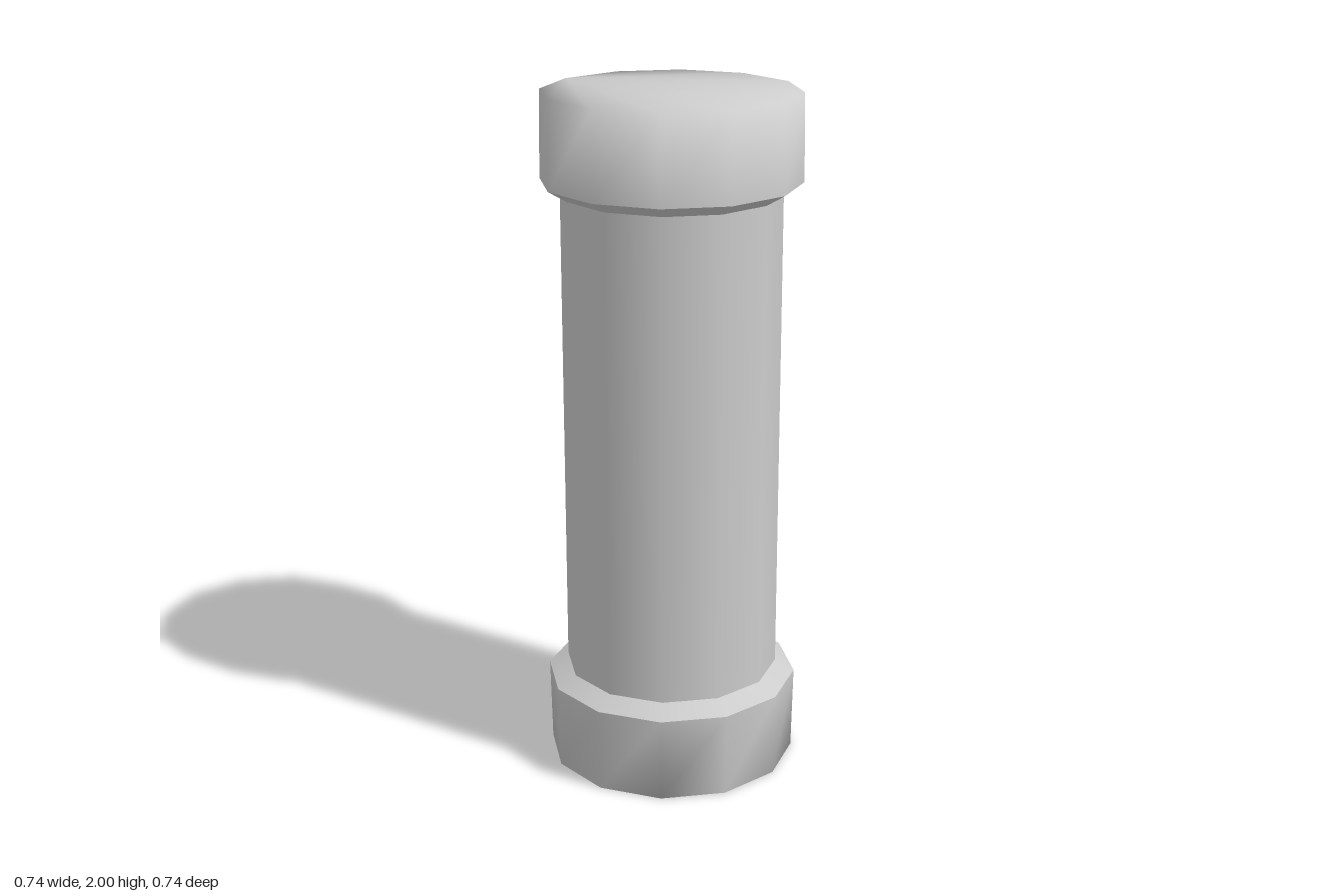
import * as THREE from 'three';

const SIDES = 12;

// Twelve-sided collar: straight wall and end face share smooth normals
function collarGeometry(yLow, rLow, yTop, rTop, firstCorner) {
  const pos = [], idx = [];
  for (const [y, r] of [[yLow, rLow], [yTop, rTop]]) {
    for (let i = 0; i < SIDES; i++) {
      const a = ((i + firstCorner) / SIDES) * Math.PI * 2;
      pos.push(r * Math.sin(a), y, r * Math.cos(a));
    }
  }
  for (let i = 0; i < SIDES; i++) {
    const j = (i + 1) % SIDES;
    idx.push(i, j, SIDES + j, i, SIDES + j, SIDES + i);
    if (i > 0 && i < SIDES - 1) idx.push(SIDES, SIDES + i, SIDES + i + 1);
  }
  const g = new THREE.BufferGeometry();
  g.setAttribute('position', new THREE.Float32BufferAttribute(pos, 3));
  g.setIndex(idx);
  g.computeVertexNormals();
  return g;
}

export function createModel() {
  const model = new THREE.Group();
  model.name = 'column';
  const stone = new THREE.MeshStandardMaterial({ color: 0xcccccc });
  stone.name = 'pale grey';

  const add = (parent, name, geometry, y = 0) => {
    const mesh = new THREE.Mesh(geometry, stone);
    mesh.name = name;
    mesh.position.y = y;
    parent.add(mesh);
  };

  // Shaft runs into both collars
  add(model, 'shaft', new THREE.CylinderGeometry(0.315, 0.315, 1.5, SIDES, 1, true), 1);

  // Matching collars, the lower one turned over
  for (const name of ['capital', 'base']) {
    const end = new THREE.Group();
    end.name = name;
    add(end, name + 'Collar', collarGeometry(0.75, 0.372, 1, 0.367, 7));
    add(end, name + 'Chamfer', new THREE.CylinderGeometry(0.372, 0.313, 0.035, SIDES, 1, true), 0.7325);
    end.position.y = 1;
    if (name === 'base') end.rotation.x = Math.PI;
    model.add(end);
  }
  return model;
}
